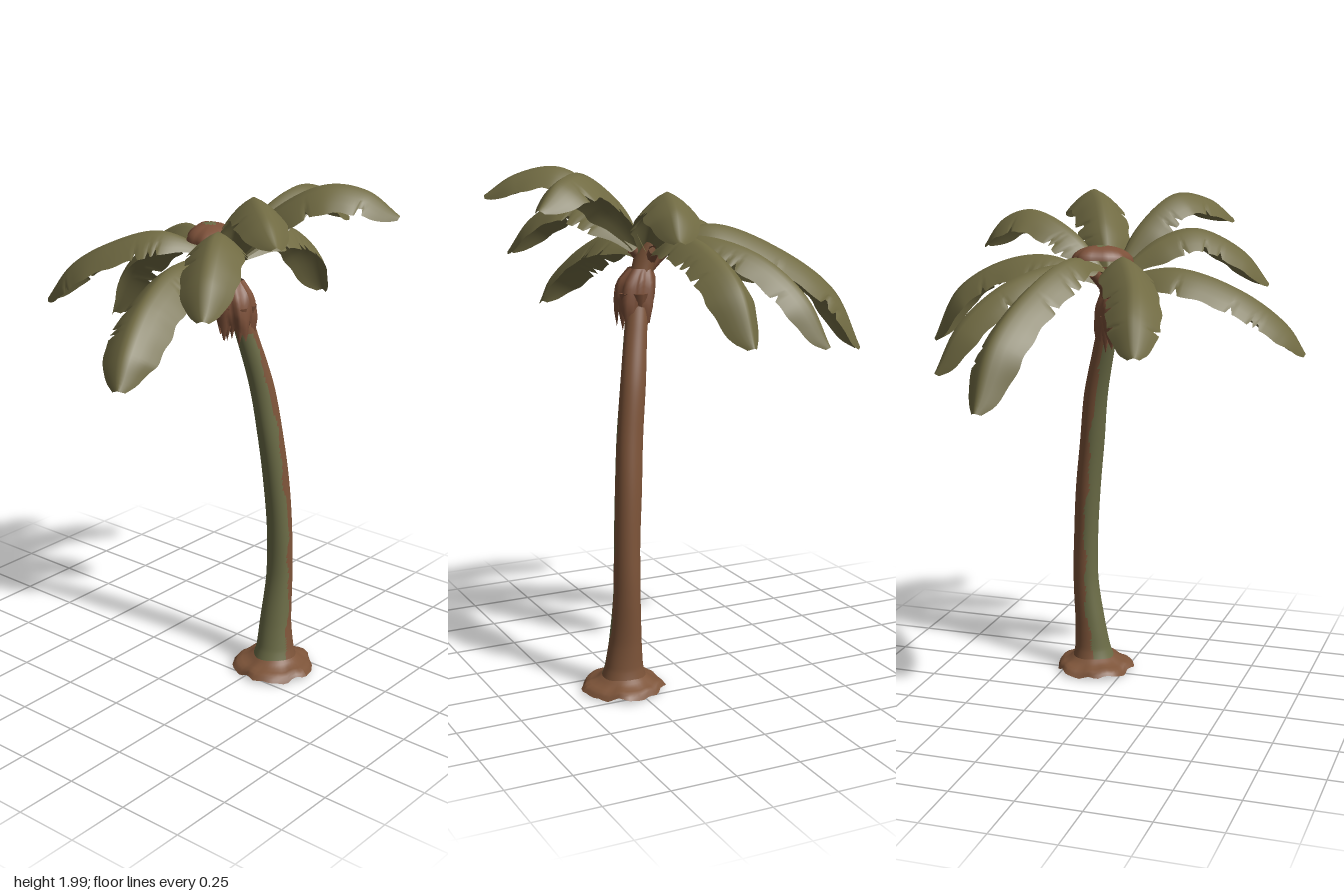
import * as THREE from 'three';

const mat = (name, color) => {
  const m = new THREE.MeshStandardMaterial({ color, side: THREE.DoubleSide });
  m.name = name;
  return m;
};

// Smooth curve through [x, y, z] points
const spline = (pts) => new THREE.CatmullRomCurve3(pts.map((p) => new THREE.Vector3(p[0], p[1], p[2])));

// Small seeded random source
function seeded(seed) {
  let s = seed;
  return () => (s = (s * 16807) % 2147483647) / 2147483647;
}

// Wavy, uneven value around a ring, from -1 to 1
const ragged = (a, k) => 0.5 * Math.sin(5 * a + k) + 0.3 * Math.sin(9 * a + 2 * k) + 0.2 * Math.sin(14 * a + 3 * k);

// Tube of level rings through [x, y, z, radius], listed from bottom to top
function loft(sections, sides, rows, warp) {
  const path = spline(sections);
  const radii = spline(sections.map((s) => [s[3], 0, 0]));
  const geo = new THREE.CylinderGeometry(1, 1, 1, sides, rows, true);
  const pos = geo.attributes.position;
  for (let i = 0; i < pos.count; i++) {
    const u = Math.min(1, Math.max(0, pos.getY(i) + 0.5));
    const x = pos.getX(i), z = pos.getZ(i);
    const c = path.getPoint(u), w = warp(Math.atan2(x, z), u);
    const r = radii.getPoint(u).x * w.r;
    pos.setXYZ(i, c.x + x * r, c.y + w.y, c.z + z * r);
  }
  geo.computeVertexNormals();
  return geo;
}

// Splits the faces of a geometry over two materials by a rule on the face centre
function paint(geo, rule) {
  const lists = [[], []];
  const pos = geo.attributes.position, idx = geo.index.array;
  const c = new THREE.Vector3(), v = new THREE.Vector3();
  for (let i = 0; i < idx.length; i += 3) {
    c.set(0, 0, 0);
    for (let k = 0; k < 3; k++) c.addScaledVector(v.fromBufferAttribute(pos, idx[i + k]), 1 / 3);
    lists[rule(c) ? 1 : 0].push(idx[i], idx[i + 1], idx[i + 2]);
  }
  geo.setIndex([...lists[0], ...lists[1]]);
  geo.clearGroups();
  geo.addGroup(0, lists[0].length, 0);
  geo.addGroup(lists[0].length, lists[1].length, 1);
  return geo;
}

// Arched leaf blade: folded along its ridge, with a few torn slits and a round tip
function leafGeometry(points, width, seed) {
  const rows = 64, cols = 8, rnd = seeded(seed);
  const path = spline(points);
  const tears = [new Set(), new Set()];
  for (const side of tears) for (let k = 0; k < 4; k++) side.add(Math.floor(16 + rnd() * 38));
  const up = new THREE.Vector3(0, 1, 0), verts = [], index = [];
  for (let i = 0; i <= rows; i++) {
    const t = i / rows;
    const p = path.getPointAt(t), tan = path.getTangentAt(t);
    const across = new THREE.Vector3().crossVectors(tan, up).normalize();
    const normal = new THREE.Vector3().crossVectors(across, tan);
    const grow = 0.35 + 0.65 * THREE.MathUtils.smoothstep(t, 0, 0.3);
    const tip = t > 0.68 ? Math.sqrt(Math.max(0.04, 1 - ((t - 0.68) / 0.32) ** 2.2)) : 1;
    for (let j = 0; j <= cols; j++) {
      const s = (j / cols) * 2 - 1, a = Math.abs(s);
      const torn = a > 0.7 && tears[s > 0 ? 1 : 0].has(i) ? 0.75 : 1;
      const w = width * grow * tip * torn * (1 + 0.03 * a * Math.sin(i * 0.6 + seed));
      const q = p.clone().addScaledVector(across, s * w).addScaledVector(normal, -w * (0.42 * a + 0.38 * a * a));
      verts.push(q.x, q.y, q.z);
      if (i < rows && j < cols) {
        const n = i * (cols + 1) + j, m = n + cols + 1;
        index.push(n, n + 1, m, n + 1, m + 1, m);
      }
    }
  }
  const geo = new THREE.BufferGeometry();
  geo.setAttribute('position', new THREE.Float32BufferAttribute(verts, 3));
  geo.setIndex(index);
  geo.computeVertexNormals();
  return geo;
}

export function createModel() {
  const palm = new THREE.Group();
  palm.name = 'palmTree';
  const leafGreen = mat('leafGreen', 0x716b43);
  const bark = mat('barkBrown', 0x7d5439);
  const moss = mat('mossGreen', 0x6c6d47);
  const husk = mat('huskBrown', 0x7c5039);
  const add = (name, geo, material) => {
    const mesh = new THREE.Mesh(geo, material);
    mesh.name = name;
    palm.add(mesh);
    return mesh;
  };

  // Curved trunk, mossy on its -x side
  const trunk = [
    [0.135, 0.03, 0.285, 0.095], [0.14, 0.1, 0.284, 0.074], [0.148, 0.2, 0.28, 0.063], [0.168, 0.4, 0.28, 0.052],
    [0.166, 0.6, 0.277, 0.05], [0.153, 0.8, 0.265, 0.051], [0.13, 1.0, 0.248, 0.05], [0.105, 1.2, 0.222, 0.048],
    [0.058, 1.4, 0.187, 0.043], [0.02, 1.56, 0.155, 0.04], [0.01, 1.72, 0.1, 0.05],
  ];
  const axis = spline(trunk);
  const trunkGeo = loft(trunk, 40, 90, (a, u) => ({ r: 1 + 0.02 * Math.sin(3 * a + 9 * u), y: 0 }));
  paint(trunkGeo, (c) => {
    if (c.y < 0.05 || c.y > 1.42) return false;
    let u = 0;
    while (u < 1 && axis.getPoint(u).y < c.y) u += 0.01;
    const m = axis.getPoint(u);
    const dx = c.x - m.x, dz = c.z - m.z;
    return -dx / Math.hypot(dx, dz) > 0.2 + 0.12 * Math.sin(c.y * 17) + 0.08 * Math.sin(c.y * 41);
  });
  add('trunk', trunkGeo, [bark, moss]);

  // Ragged root skirt, closed below
  add('rootSkirt', loft(
    [[0.13, 0.012, 0.285, 0.16], [0.132, 0.033, 0.285, 0.145], [0.136, 0.045, 0.285, 0.11], [0.138, 0.065, 0.285, 0.082]],
    48, 6, (a, u) => ({ r: 1 + 0.07 * (1 - u) * ragged(a, 1), y: 0.012 * (1 - u) * ragged(a, 2) })), bark);
  const sole = add('rootUnderside', new THREE.CircleGeometry(0.13, 32), bark);
  sole.rotation.x = Math.PI / 2;
  sole.position.set(0.13, 0.03, 0.285);

  // Fibrous collar hanging under the crown
  add('fibreCollar', loft(
    [[0.012, 1.44, 0.172, 0.064], [0.008, 1.5, 0.168, 0.076], [0.005, 1.56, 0.16, 0.074], [0.01, 1.62, 0.145, 0.045]],
    40, 8, (a, u) => ({ r: 1 + 0.12 * ragged(a, 4), y: 0.05 * (1 - u) * ragged(a, 0.6) })), husk);
  // Broad pointed flaps of husk
  for (let i = 0; i < 6; i++) {
    const a = (i / 6) * Math.PI * 2 + 0.5, len = 0.11 + 0.02 * (i % 3);
    const flap = add('huskFlap', new THREE.ConeGeometry(0.034, len, 8), husk);
    flap.position.set(0.01 + Math.sin(a) * 0.048, 1.53 - len / 2, 0.17 + Math.cos(a) * 0.044);
    flap.rotation.x = Math.PI;
  }
  // Short stalks joining the trunk to the leaves
  for (const [x, y, z] of [[-0.07, 1.68, 0.14], [0.08, 1.69, 0.12], [0, 1.69, 0.17], [0.05, 1.71, 0.03], [-0.04, 1.71, 0.03]]) {
    const path = spline([[0.012, 1.58, 0.145], [x * 0.45, 1.65, 0.07 + z * 0.4], [x, y, z]]);
    add('leafStalk', new THREE.TubeGeometry(path, 8, 0.022, 8), husk);
  }

  // Uneven cap over the middle of the crown, with a mossy spot
  const capGeo = new THREE.SphereGeometry(1, 32, 10, 0, Math.PI * 2, 0, Math.PI / 2);
  const cp = capGeo.attributes.position;
  for (let i = 0; i < cp.count; i++) {
    const x = cp.getX(i), y = cp.getY(i), z = cp.getZ(i);
    const k = 1 + 0.1 * ragged(Math.atan2(x, z), 3);
    cp.setXYZ(i, x * 0.12 * k, y * 0.06, z * 0.088 * k);
  }
  capGeo.computeVertexNormals();
  paint(capGeo, (c) => Math.hypot(c.x - 0.01, c.z + 0.01) < 0.025);
  const cap = add('crownCap', capGeo, [husk, moss]);
  cap.position.set(0.02, 1.755, 0.04);
  cap.rotation.set(0.1, 0.6, 0);

  // Nine leaves, high at the front and drooping at the back: ridge points and half width
  const leaves = [
    ['leftLowLeaf', 0.112, [[0, 1.68, 0.11], [-0.25, 1.73, 0.12], [-0.5, 1.645, 0.17], [-0.67, 1.51, 0.23], [-0.735, 1.4, 0.26]]],
    ['frontMiddleLeaf', 0.102, [[0, 1.69, 0.13], [-0.15, 1.83, 0.23], [-0.28, 1.865, 0.31], [-0.45, 1.77, 0.41], [-0.54, 1.64, 0.47]]],
    ['frontHighLeaf', 0.095, [[0, 1.7, 0.14], [-0.07, 1.88, 0.25], [-0.17, 1.99, 0.39], [-0.28, 1.96, 0.53], [-0.35, 1.88, 0.63]]],
    ['frontLongLeaf', 0.105, [[0.02, 1.7, 0.14], [0.08, 1.88, 0.27], [0.17, 1.99, 0.45], [0.26, 1.97, 0.57], [0.325, 1.88, 0.67]]],
    ['sideHighLeaf', 0.1, [[0.02, 1.69, 0.13], [0.17, 1.85, 0.16], [0.36, 1.93, 0.2], [0.5, 1.885, 0.235], [0.59, 1.78, 0.265]]],
    ['sideLowLeaf', 0.1, [[0.03, 1.68, 0.1], [0.25, 1.765, 0.09], [0.45, 1.735, 0.08], [0.63, 1.62, 0.06], [0.73, 1.42, 0.05]]],
    ['backShortLeaf', 0.093, [[0.04, 1.72, 0.06], [0.17, 1.745, -0.04], [0.33, 1.685, -0.19], [0.47, 1.54, -0.31], [0.545, 1.36, -0.37]]],
    ['backLongLeaf', 0.102, [[0.03, 1.74, 0.04], [0.09, 1.78, -0.12], [0.17, 1.69, -0.35], [0.235, 1.52, -0.57], [0.255, 1.29, -0.685]]],
    ['backLeftLeaf', 0.1, [[-0.01, 1.73, 0.05], [-0.11, 1.79, -0.1], [-0.2, 1.73, -0.28], [-0.25, 1.63, -0.43], [-0.28, 1.49, -0.53]]],
  ];
  leaves.forEach(([name, width, points], i) => add(name, leafGeometry(points, width, 101 + i * 37), leafGreen));

  return palm;
}
